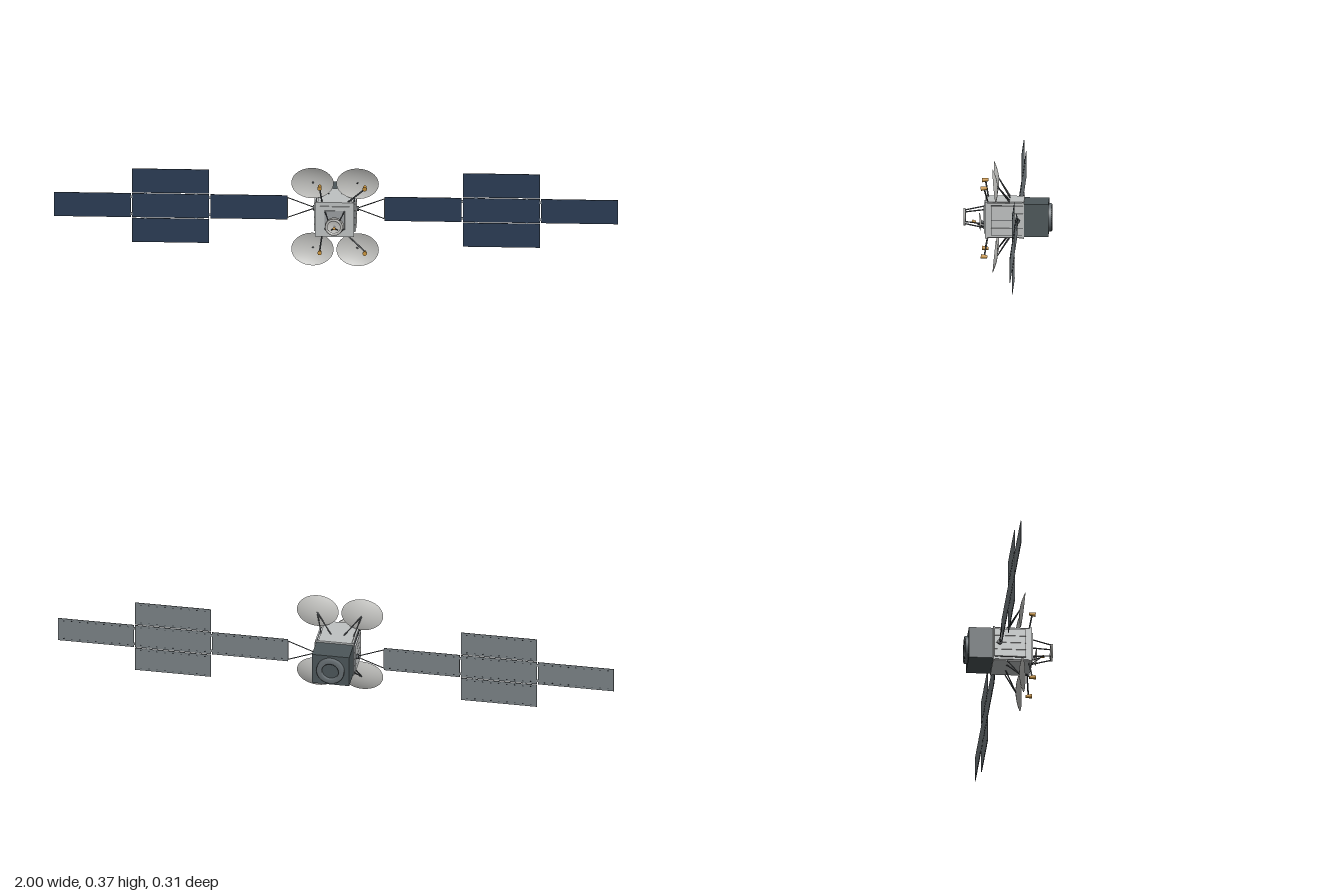
import * as THREE from 'three';

const CY = 0.187; // height of the main axis
const WING_Z = -0.036;

const mat = (name, color, side = THREE.FrontSide) => {
  const m = new THREE.MeshStandardMaterial({ color, side });
  m.name = name;
  return m;
};

export function createModel() {
  const root = new THREE.Group();
  root.name = 'satellite';
  const shell = mat('light grey shell', 0xbfc2c2);
  const trim = mat('mid grey trim', 0x9a9ea0);
  const dishMat = mat('dish grey', 0xc6c6c3, THREE.DoubleSide);
  const dark = mat('charcoal module', 0x4d575a);
  const strutMat = mat('strut grey', 0x4a4f53);
  const black = mat('dark seams', 0x24282c);
  const gold = mat('gold feed', 0xc8923a);
  const navy = mat('navy solar cells', 0x2a3c54);
  const panelBack = mat('panel backing', 0x7c8488);

  const add = (name, geo, m, x = 0, y = 0, z = 0, parent = root) => {
    const mesh = new THREE.Mesh(geo, m);
    mesh.name = name;
    mesh.position.set(x, y, z);
    parent.add(mesh);
    return mesh;
  };
  const box = (name, w, h, d, m, x, y, z, parent) =>
    add(name, new THREE.BoxGeometry(w, h, d), m, x, y, z, parent);
  const rod = (name, a, b, r, m = strutMat, r2 = r) => {
    const p = new THREE.Vector3(...a), q = new THREE.Vector3(...b);
    const dir = q.clone().sub(p);
    const mesh = add(name, new THREE.CylinderGeometry(r2, r, dir.length(), 10), m);
    mesh.position.copy(p).add(q).multiplyScalar(0.5);
    mesh.quaternion.setFromUnitVectors(new THREE.Vector3(0, 1, 0), dir.normalize());
    return mesh;
  };
  // shallow bowl opening towards +z, rim at the origin
  const bowl = (rx, ry, depth) => {
    const pts = [];
    for (let i = 0; i <= 10; i++) {
      const t = i / 10;
      pts.push(new THREE.Vector2(t, depth * (t * t - 1)));
    }
    const g = new THREE.LatheGeometry(pts, 40);
    g.rotateX(Math.PI / 2);
    return g.scale(rx, ry, 1);
  };

  // main body with end frames and front plate
  box('body', 0.132, 0.122, 0.134, shell, 0, CY, 0.011);
  box('frontPlate', 0.104, 0.102, 0.006, shell, 0, CY, 0.081);
  box('frontInnerPlate', 0.072, 0.072, 0.003, trim, 0, CY, 0.0845);
  for (const z of [0.075, -0.0555])
    box('endFrame', 0.138, 0.13, z > 0 ? 0.009 : 0.006, shell, 0, CY, z);
  for (const s of [-1, 1]) {
    box('deck', 0.12, 0.004, 0.128, shell, 0, CY + s * 0.063, 0.011);
    // side radiators made of separate slats
    box('radiatorBack', 0.005, 0.106, 0.114, black, s * 0.067, CY, 0.001);
    for (let i = 0; i < 4; i++)
      box('radiatorSlat', 0.005, 0.0252, 0.113, shell, s * 0.0715, CY + (i - 1.5) * 0.0266, 0.001);
  }

  // rear module with round adapter
  box('rearModule', 0.134, 0.117, 0.087, dark, 0, CY, -0.1015);
  const ringProfile = [[0.03, 0], [0.03, 0.011], [0.034, 0.012], [0.047, 0.012], [0.05, 0.009], [0.05, 0]]
    .map(p => new THREE.Vector2(...p)).reverse();
  const adapterMat = mat('adapter grey', 0x666e72, THREE.DoubleSide);
  const adapter = add('rearAdapter', new THREE.LatheGeometry(ringProfile, 40), adapterMat, 0, CY, -0.145);
  adapter.rotation.x = -Math.PI / 2;
  const well = add('adapterWell', new THREE.CylinderGeometry(0.031, 0.031, 0.004, 32), dark, 0, CY, -0.146);
  well.rotation.x = Math.PI / 2;

  // corner reflectors, back struts and feeds
  for (const sx of [-1, 1]) for (const sy of [-1, 1]) {
    const x = sx * 0.08, y = CY + sy * 0.125;
    const dish = add('reflector', bowl(0.075, 0.06, 0.012), dishMat, x, y, 0.046);
    dish.rotation.x = sy * 0.1;
    for (const bx of [0.022, 0.058])
      rod('reflectorStrut', [sx * bx, CY + sy * 0.063, -0.008], [x, y, 0.035], 0.0022);
    const fx = x + 0.027, fy = CY + sy * 0.124;
    rod('feedArm', [sx * 0.045, CY + sy * 0.062, 0.07], [fx, fy - sy * 0.006, 0.08], 0.0028);
    rod('feedHorn', [fx, fy - sy * 0.002, 0.093], [fx, fy, 0.07], 0.008, gold, 0.0055);
  }

  // front ring on four legs
  const hoop = [[0.023, -0.0035], [0.031, -0.0035], [0.031, 0.0035], [0.023, 0.0035], [0.023, -0.0035]]
    .map(p => new THREE.Vector2(...p));
  const hoopMesh = add('frontRing', new THREE.LatheGeometry(hoop, 32), dishMat, 0, CY, 0.1535);
  hoopMesh.rotation.x = Math.PI / 2;
  for (const sx of [-1, 1]) for (const sy of [-1, 1])
    rod('ringLeg', [sx * 0.035, CY + sy * 0.033, 0.08], [sx * 0.019, CY + sy * 0.021, 0.152], 0.0023);

  // small front dish with its feed
  const small = add('frontDish', bowl(0.034, 0.034, 0.006), dishMat, 0, 0.17, 0.1);
  small.rotation.x = 0.04;
  rod('frontDishMount', [0, 0.165, 0.084], [0, 0.17, 0.094], 0.005);
  for (const s of [-1, 1])
    rod('frontFeedArm', [s * 0.016, 0.148, 0.084], [0, 0.168, 0.117], 0.0018);
  rod('frontFeed', [0, 0.172, 0.127], [0, 0.169, 0.113], 0.0055, gold, 0.0035);

  // solar wings
  const panel = (x, y, w, h, parent) => {
    box('panelEdge', w, h, 0.001, black, x, y, WING_Z, parent);
    box('panelFront', w - 0.002, h - 0.002, 0.0008, navy, x, y, WING_Z + 0.0008, parent);
    box('panelBack', w - 0.002, h - 0.002, 0.0008, panelBack, x, y, WING_Z - 0.0008, parent);
    for (let i = 0; i < 9; i++) for (const s of [-1, 1])
      box('panelStud', 0.005, 0.003, 0.001, black, x + (i - 4) * w / 9.5, y + s * h * 0.4, WING_Z - 0.0013, parent);
  };
  for (const s of [-1, 1]) {
    const wing = new THREE.Group();
    wing.name = 'solarWing';
    root.add(wing);
    const w = 0.273;
    [0.3085, 0.586, 0.8635].forEach(x => panel(s * x, CY, w, 0.091, wing));
    for (const r of [-1, 1]) {
      panel(s * 0.586, CY + r * 0.0935, w, 0.091, wing);
      for (const dx of [-0.09, 0.09])
        box('panelHinge', 0.01, 0.005, 0.002, trim, s * 0.586 + dx, CY + r * 0.0467, WING_Z, wing);
      for (const x of [0.4473, 0.7248])
        box('panelHinge', 0.006, 0.009, 0.002, trim, s * x, CY + r * 0.032, WING_Z, wing);
      rod('yokeArm', [s * 0.078, CY + r * 0.002, WING_Z], [s * 0.173, CY + r * 0.038, WING_Z], 0.0018);
    }
    box('yokeBar', 0.003, 0.078, 0.003, strutMat, s * 0.172, CY, WING_Z, wing);
    rod('wingHub', [s * 0.066, CY, WING_Z], [s * 0.082, CY, WING_Z], 0.009);
  }
  return root;
}
